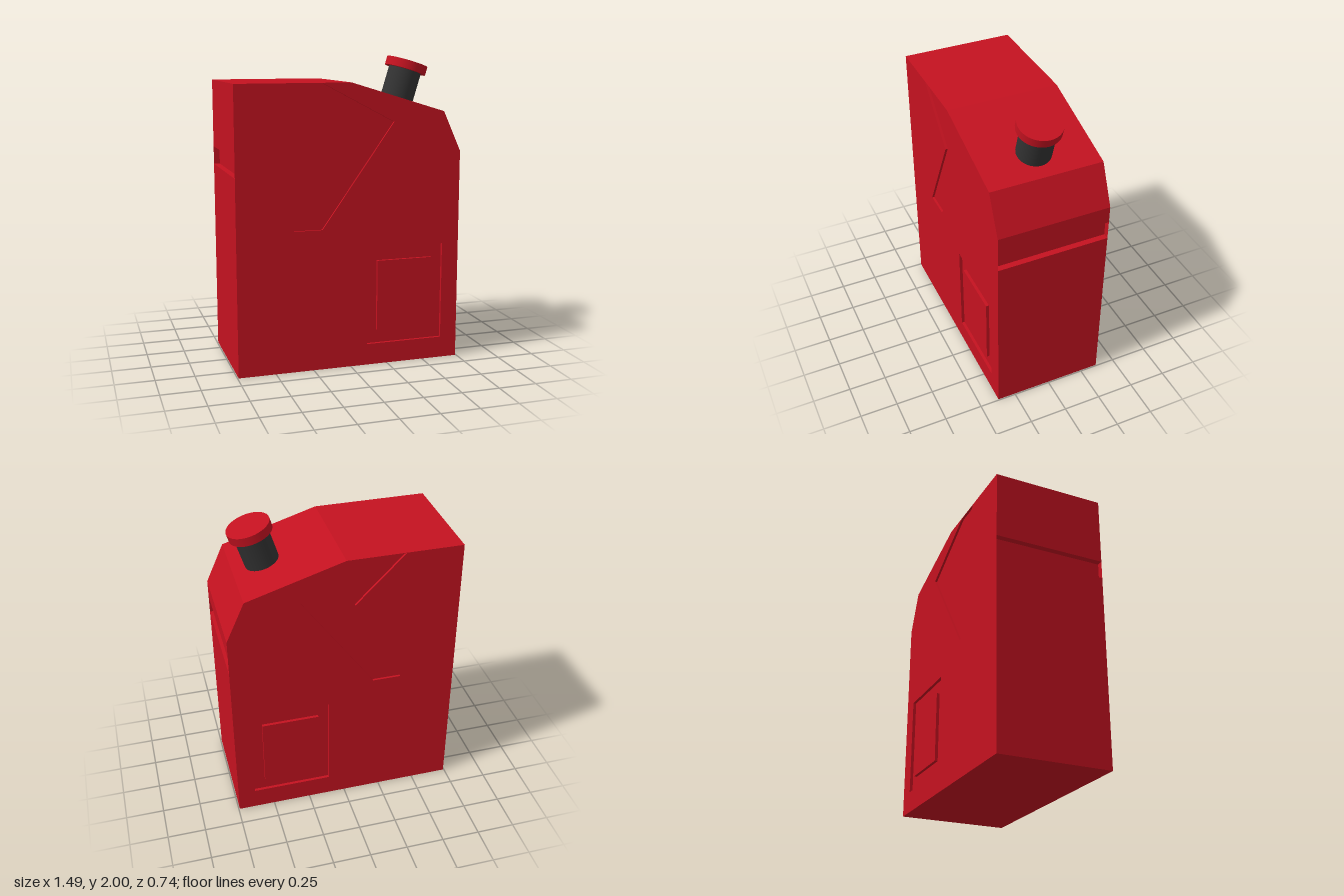
import * as THREE from 'three';

const red = new THREE.MeshStandardMaterial({ color: 0xc41220, side: THREE.DoubleSide, flatShading: true });
const capRed = new THREE.MeshStandardMaterial({ color: 0xc41220 });
const dark = new THREE.MeshStandardMaterial({ color: 0x333333 });

const HALF = 0.37; // half depth of the can

const rect = (x0, y0, x1, y1) => [[x0, y0], [x1, y0], [x1, y1], [x0, y1]];
const vectors = (pts) => pts.map(([x, y]) => new THREE.Vector2(x, y));

function addMesh(parent, name, geometry, material) {
  const mesh = new THREE.Mesh(geometry, material);
  mesh.name = name;
  parent.add(mesh);
  return mesh;
}

// Flat face at depth z, with optional holes
function face(pts, z, holes = []) {
  const shape = new THREE.Shape(vectors(pts));
  holes.forEach((h) => shape.holes.push(new THREE.Path(vectors(h))));
  return new THREE.ShapeGeometry(shape).translate(0, 0, z);
}

// Band of walls around a counter-clockwise outline; faces inward when z1 < z0
function wall(pts, z0, z1) {
  const pos = [];
  pts.forEach(([ax, ay], i) => {
    const [bx, by] = pts[(i + 1) % pts.length];
    pos.push(ax, ay, z0, bx, by, z0, bx, by, z1, ax, ay, z0, bx, by, z1, ax, ay, z1);
  });
  const g = new THREE.BufferGeometry();
  g.setAttribute('position', new THREE.Float32BufferAttribute(pos, 3));
  g.computeVertexNormals();
  return g;
}

export function createModel() {
  const model = new THREE.Group();
  model.name = 'fuelCan';

  const profile = [[-0.743, 0], [0.743, 0], [0.743, 1.39], [0.625, 1.65], [0, 1.84], [-0.743, 1.84]];
  // Same outline with a horizontal groove in each narrow side
  const grooved = [
    [-0.743, 0], [0.743, 0],
    [0.743, 1.15], [0.703, 1.15], [0.703, 1.275], [0.743, 1.275],
    ...profile.slice(2),
    [-0.743, 1.39], [-0.703, 1.39], [-0.703, 1.27], [-0.743, 1.27],
  ];
  const chevron = [[-0.375, 0.92], [-0.19, 0.92], [0.285, 1.59], [-0.185, 1.837], [-0.375, 1.837], [-0.06, 1.52]];
  const panel = rect(0.11, 0.14, 0.63, 0.785);
  const plate = rect(0.18, 0.23, 0.555, 0.695);

  addMesh(model, 'bodyShell', wall(grooved, -HALF, HALF), red);

  // Broad sides, mirrored front to back
  for (const [name, s] of [['frontSide', 1], ['backSide', -1]]) {
    const side = new THREE.Group();
    side.name = name;
    side.scale.z = s;
    addMesh(side, 'sidePanel', face(profile, HALF, [chevron, panel]), red);
    for (const [part, outline, depth, holes] of [
      ['chevronRecess', chevron, 0.015, []],
      ['panelRecess', panel, 0.02, [plate]],
    ]) {
      addMesh(side, part + 'Wall', wall(outline, HALF, HALF - depth), red);
      addMesh(side, part + 'Floor', face(outline, HALF - depth, holes), red);
    }
    addMesh(side, 'raisedPlateWall', wall(plate, HALF - 0.02, HALF), red);
    addMesh(side, 'raisedPlateFace', face(plate, HALF), red);
    model.add(side);
  }

  // Spout, square to the sloping shoulder
  const spout = new THREE.Group();
  spout.name = 'spout';
  spout.position.set(0.438, 1.707, 0);
  spout.rotation.z = -Math.atan2(0.19, 0.625);
  addMesh(spout, 'neck', new THREE.CylinderGeometry(0.11, 0.11, 0.21, 40), dark).position.y = 0.105;
  addMesh(spout, 'cap', new THREE.CylinderGeometry(0.14, 0.14, 0.057, 40), capRed).position.y = 0.234;
  model.add(spout);

  return model;
}
